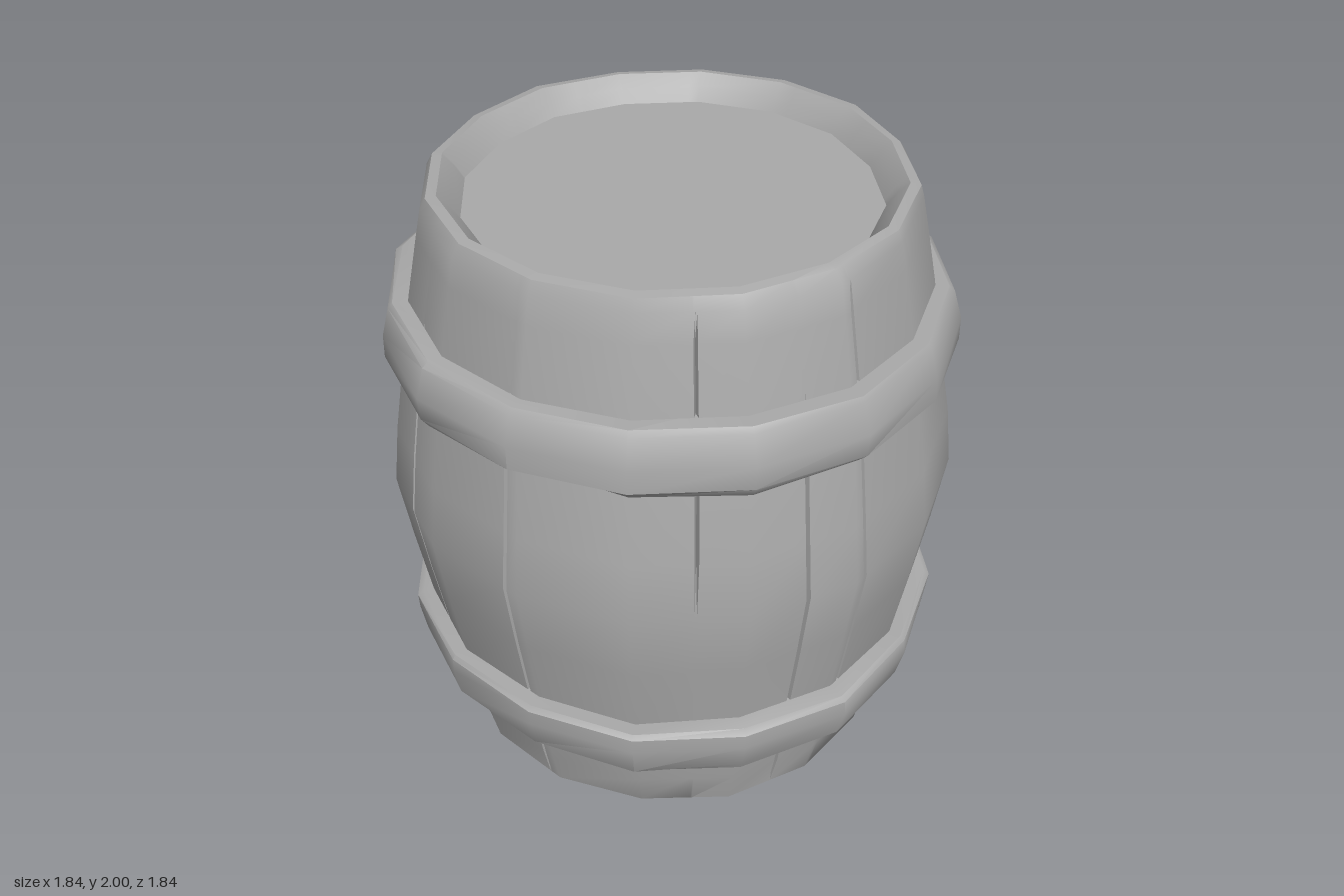
import * as THREE from 'three';
import { toCreasedNormals } from 'three/addons/utils/BufferGeometryUtils.js';

const SIDES = 16;
const STEP = (Math.PI * 2) / SIDES;
const rad = THREE.MathUtils.degToRad;

// Repeatable wobble between -1 and 1
function wobble(a, b) {
  const s = Math.sin(a * 127.1 + b * 311.7) * 43758.5453;
  return (s - Math.floor(s)) * 2 - 1;
}

// Surface swept round the y axis; pointAt(angle, row) gives [x, y, z]
function sweep(angles, rows, closed, pointAt) {
  const pos = [];
  const n = angles.length;
  for (let i = 0; i < n; i++) {
    const a0 = angles[i], a1 = angles[(i + 1) % n];
    for (let j = 0; j < rows - (closed ? 0 : 1); j++) {
      const k = (j + 1) % rows;
      const a = pointAt(a0, j), b = pointAt(a1, j), c = pointAt(a1, k), d = pointAt(a0, k);
      pos.push(...a, ...b, ...c, ...a, ...c, ...d);
    }
  }
  const g = new THREE.BufferGeometry();
  g.setAttribute('position', new THREE.Float32BufferAttribute(pos, 3));
  return toCreasedNormals(g, 0.7);
}

// Point on the uneven polygon outline: straight between neighbouring corners
function onOutline(angle, corner) {
  const u = angle / STEP;
  const k = Math.floor(u + 1e-6);
  const t = Math.max(0, u - k);
  const at = (m) => {
    const [r, y] = corner(m % SIDES);
    return new THREE.Vector3(r * Math.sin(m * STEP), y, r * Math.cos(m * STEP));
  };
  return at(k).lerp(at(k + 1), t);
}

// Body outline [radius, y], from the foot over the rim down to the lid
const BODY = [
  [0.715, 0], [0.755, 0.03], [0.785, 0.16], [0.81, 0.3], [0.845, 0.5], [0.885, 0.75],
  [0.92, 1], [0.895, 1.2], [0.862, 1.42], [0.815, 1.68], [0.775, 1.87], [0.755, 1.96],
  [0.73, 1.995], [0.7, 2], [0.665, 1.965], [0.635, 1.92],
];

// Cracks between the staves: [degrees from the front, lowest y, highest y]
const CRACKS = [
  [35, 1.1, 1.9], [57, 0.1, 1.45], [70, 0.4, 1.9], [116, 0.45, 1.9], [147, 0.1, 1.45],
  [174, 0.4, 1.9], [206, 0.1, 1.45], [238, 0.4, 1.45], [262, 0.7, 1.9], [294, 0.1, 1.9],
  [326, 0.1, 1.45], [357, 0.1, 1.45],
];

function bodyGeometry() {
  const half = rad(0.45);
  const angles = [];
  for (let i = 0; i < SIDES; i++) angles.push(i * STEP);
  for (const [deg] of CRACKS) angles.push(rad(deg) - half, rad(deg), rad(deg) + half);
  angles.sort((a, b) => a - b);

  return sweep(angles, BODY.length, false, (angle, j) => {
    const [r, y] = BODY[j];
    const amount = j >= 13 || j === 0 ? 0.006 : 0.009;
    const p = onOutline(angle, (m) => [r + amount * wobble(m, 3 + Math.floor(j / 4)), y]);
    // Press the middle of each crack into the wood
    const crack = CRACKS.find(([deg, lo, hi]) =>
      Math.abs(rad(deg) - angle) < 1e-6 && y >= lo && y <= hi && j < 11);
    const s = crack ? 0.975 : 1;
    return [p.x * s, p.y, p.z * s];
  });
}

// Hoop cross-section [radius, y], hammered unevenly round the barrel
function hoopGeometry(section, seed, dents) {
  const angles = Array.from({ length: SIDES }, (_, i) => i * STEP);
  return sweep(angles, section.length, true, (angle, j) => {
    const p = onOutline(angle, (m) => {
      const [r, y] = section[j];
      const outer = j > 0 && j < section.length - 1;
      const dr = outer ? 0.012 * wobble(m, seed) + 0.005 * wobble(m, seed + j) : 0;
      const lower = j < 2 ? 1 : 0;
      const dy = lower * (dents[m] || 0) + 0.006 * wobble(m, seed + 20 + lower);
      return [r + dr, y + dy];
    });
    return [p.x, p.y, p.z];
  });
}

export function createModel() {
  const group = new THREE.Group();
  const wood = new THREE.MeshStandardMaterial({ color: 0xaaaaaa });
  wood.name = 'plain grey';

  function add(name, geometry) {
    const mesh = new THREE.Mesh(geometry, wood);
    mesh.name = name;
    group.add(mesh);
    return mesh;
  }

  add('body', bodyGeometry());

  // Sunken lid and flat base
  const lid = add('lid', new THREE.CircleGeometry(0.645, SIDES));
  lid.rotation.x = -Math.PI / 2;
  lid.position.y = 1.921;
  const base = add('base', new THREE.CircleGeometry(0.716, SIDES));
  base.rotation.x = Math.PI / 2;
  base.position.y = 0.001;

  // Hoops, with a few dents along the lower edge
  add('upperHoop', hoopGeometry([
    [0.8, 1.44], [0.88, 1.44], [0.908, 1.475], [0.908, 1.55], [0.882, 1.645], [0.865, 1.66], [0.76, 1.66],
  ], 5, { 0: 0.05, 7: 0.03, 12: 0.02 }));
  add('lowerHoop', hoopGeometry([
    [0.75, 0.3], [0.865, 0.3], [0.885, 0.325], [0.905, 0.43], [0.905, 0.485], [0.89, 0.5], [0.8, 0.5],
  ], 11, { 3: 0.02, 9: 0.03, 15: 0.025 }));

  return group;
}
